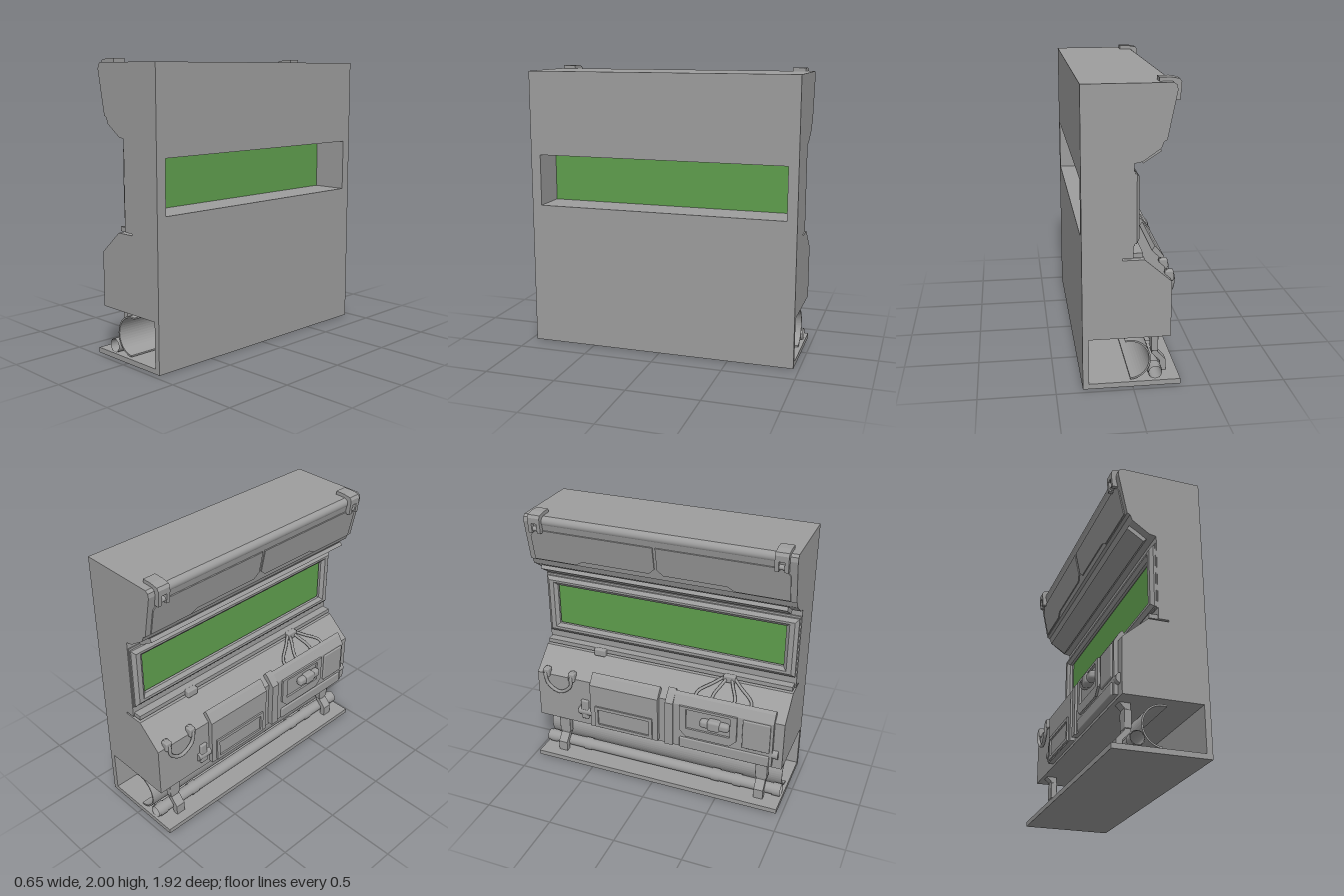
import * as THREE from 'three';
import { RoundedBoxGeometry } from 'three/addons/geometries/RoundedBoxGeometry.js';

export function createModel() {
  const model = new THREE.Group();
  model.name = 'wallPanel';
  const grey = new THREE.MeshStandardMaterial({ color: 0x9d9d9d });
  const greyOpen = new THREE.MeshStandardMaterial({ color: 0x9d9d9d, side: THREE.DoubleSide });
  const green = new THREE.MeshStandardMaterial({ color: 0x5f9e4d });

  const add = (name, geo, mat = grey) => {
    const m = new THREE.Mesh(geo, mat);
    m.name = name;
    model.add(m);
    return m;
  };
  const toShape = pts => new THREE.Shape(pts.map(p => new THREE.Vector2(...p)));
  const rect = (a, b, c, d) => [[a, c], [b, c], [b, d], [a, d]];

  // cross-section in x/y, swept from z0 to z1
  const prism = (name, pts, z0, z1) => {
    const g = new THREE.ExtrudeGeometry(toShape(pts), { depth: z1 - z0, bevelEnabled: false });
    return add(name, g.translate(0, 0, z0));
  };
  const box = (name, x0, x1, y0, y1, z0, z1, mat) =>
    add(name, new THREE.BoxGeometry(x1 - x0, y1 - y0, z1 - z0)
      .translate((x0 + x1) / 2, (y0 + y1) / 2, (z0 + z1) / 2), mat);
  const soft = (name, x0, x1, y0, y1, z0, z1, r) =>
    add(name, new RoundedBoxGeometry(x1 - x0, y1 - y0, z1 - z0, 2, r)
      .translate((x0 + x1) / 2, (y0 + y1) / 2, (z0 + z1) / 2));
  // outline in z/y, growing from x0 towards -x, with an optional hole and bevel
  const plate = (name, pts, x0, depth, hole, bevel = 0) => {
    const s = toShape(pts);
    if (hole) s.holes.push(new THREE.Path(hole.map(p => new THREE.Vector2(...p))));
    const g = new THREE.ExtrudeGeometry(s, { depth, bevelEnabled: bevel > 0,
      bevelThickness: bevel, bevelSize: bevel * 1.25, bevelSegments: 1 });
    return add(name, g.rotateY(-Math.PI / 2).translate(x0, 0, 0));
  };
  const rod = (name, x, y, z0, z1, r, open = false) =>
    add(name, new THREE.CylinderGeometry(r, r, z1 - z0, 24, 1, open)
      .rotateX(Math.PI / 2).translate(x, y, (z0 + z1) / 2), open ? greyOpen : grey);
  const cable = (name, pts, r = 0.011) =>
    add(name, new THREE.TubeGeometry(
      new THREE.CatmullRomCurve3(pts.map(p => new THREE.Vector3(...p))), 24, r, 8));

  const E = 0.96, B = 0.325;

  // wall: overhang above, console below with a slit under the ledge, jambs beside the window
  prism('upperWall', [[B, 1.385], [B, 1.975], [-0.235, 1.975], [-0.255, 1.96], [-0.26, 1.93],
    [-0.25, 1.88], [-0.2, 1.63], [-0.18, 1.62], [-0.165, 1.58], [-0.05, 1.5], [0, 1.49], [0, 1.385]], -E, E);
  prism('lowerWall', [[0.285, 0], [B, 0], [B, 1.02], [0, 1.02], [0, 0.884], [0.07, 0.884], [0.07, 0.872],
    [-0.07, 0.872], [-0.245, 0.72], [-0.245, 0.345], [0.285, 0.345]], -E, E);
  for (const s of [-1, 1]) {
    box('windowJamb', 0, B, 1.02, 1.385, Math.min(s * 0.89, s * E), Math.max(s * 0.89, s * E));
  }
  box('basePlate', -0.315, 0.285, 0, 0.035, -E, E);

  // window frame with slanted edges, and the glass behind it
  plate('windowSurround', rect(-0.955, 0.955, 0.965, 1.44), 0, 0.008, rect(-0.89, 0.89, 1.02, 1.385));
  plate('windowFrame', rect(-0.925, 0.925, 1.0, 1.4), 0, 0.02, rect(-0.89, 0.89, 1.02, 1.385), 0.02);
  box('windowGlass', 0.015, 0.07, 1.02, 1.385, -0.89, 0.89, green);

  // light strip under the overhang
  prism('lightStrip', [[-0.18, 1.55], [-0.165, 1.575], [-0.04, 1.5], [-0.065, 1.475]], -0.9, 0.9);

  // overhang flaps and the rolled edge above them
  rod('rolledEdge', -0.23, 1.938, -0.82, 0.82, 0.034);
  const onOverhang = m => { // tilt the flat plate to the face of the overhang
    m.rotation.z = Math.atan2(0.05, 0.25);
    m.position.set(-0.2, 1.63, 0);
  };
  onOverhang(plate('leftFlap', [[-0.92, 0.01], [-0.6, 0.01], [-0.55, 0.04], [-0.05, 0.04],
    [-0.01, 0.08], [-0.01, 0.25], [-0.88, 0.25], [-0.92, 0.2]], 0, 0.008));
  onOverhang(plate('rightFlap', [[0.01, 0.08], [0.05, 0.04], [0.5, 0.04], [0.55, 0.01],
    [0.92, 0.01], [0.92, 0.2], [0.88, 0.25], [0.01, 0.25]], 0, 0.008));

  // clamps hooked over the top edge: a strap, two prongs and a pin between them
  for (const s of [-1, 1]) {
    const z = s * 0.865;
    prism('clampStrap', [[-0.155, 1.97], [-0.155, 2.0], [-0.225, 2.0], [-0.28, 1.99], [-0.292, 1.97],
      [-0.29, 1.93], [-0.255, 1.93], [-0.235, 1.97]], z - 0.045, z + 0.045);
    for (const d of [-0.032, 0.032]) {
      prism('clampProng', [[-0.29, 1.935], [-0.283, 1.86], [-0.245, 1.86], [-0.255, 1.935]],
        z + d - 0.013, z + d + 0.013);
    }
    rod('clampPin', -0.26, 1.885, z - 0.03, z + 0.03, 0.017);
  }

  // ledge between window and console
  box('ledgeRail', -0.06, 0, 0.884, 0.915, -0.95, 0.95);
  for (const z of [-0.51, 0.5]) {
    soft('ledgeBracket', -0.095, -0.05, 0.865, 0.922, z - 0.045, z + 0.045, 0.01);
  }

  // cover panels folded over the console edge
  const folded = (x, top) => [[x, 0.365], [x, 0.72], [-0.235, 0.78], [-0.235 + top, 0.78 + top * 0.9],
    [-0.215 + top, 0.75 + top * 0.9], [-0.24, 0.715], [-0.24, 0.365]];
  prism('leftCover', folded(-0.28, 0.02), -0.51, 0.03);
  plate('leftCoverFrame', rect(-0.47, -0.01, 0.375, 0.55), -0.28, 0.012, rect(-0.445, -0.035, 0.4, 0.525));
  prism('rightCover', folded(-0.272, 0.02), 0.14, 0.89);
  prism('rightCoverEdge', folded(-0.287, 0.03), 0.09, 0.15);
  plate('rightCoverFrame', [[0.2, 0.52], [0.25, 0.47], [0.58, 0.47], [0.63, 0.52], [0.63, 0.72], [0.2, 0.72]],
    -0.27, 0.017, rect(0.25, 0.58, 0.54, 0.7));
  soft('rightLowerPlate', -0.285, -0.25, 0.365, 0.45, 0.2, 0.87, 0.008);
  soft('rightSidePlate', -0.285, -0.25, 0.48, 0.71, 0.67, 0.87, 0.008);

  // capsule handle on the right cover
  soft('handleCore', -0.322, -0.265, 0.592, 0.658, 0.36, 0.58, 0.025);
  soft('handleGrip', -0.33, -0.265, 0.585, 0.668, 0.42, 0.515, 0.02);

  // cables running down the slope to the right cover
  for (const z of [0.3, 0.42, 0.58, 0.7]) {
    cable('slopeCable', [[-0.075, 0.9, 0.5 + (z - 0.5) * 0.2], [-0.12, 0.865, 0.5 + (z - 0.5) * 0.5],
      [-0.19, 0.805, z], [-0.24, 0.755, z]]);
  }

  // looped hose with clips at the left end
  cable('hoseLoop', [[-0.21, 0.765, -0.88], [-0.26, 0.74, -0.88], [-0.265, 0.66, -0.87], [-0.262, 0.6, -0.8],
    [-0.262, 0.6, -0.75], [-0.265, 0.66, -0.68], [-0.26, 0.74, -0.67], [-0.21, 0.765, -0.67]], 0.013);
  for (const z of [-0.88, -0.67]) {
    soft('hoseClip', -0.268, -0.21, 0.7, 0.77, z - 0.025, z + 0.025, 0.01);
  }

  // couplings beside the covers
  rod('leftCoupling', -0.24, 0.46, -0.62, -0.51, 0.032);
  soft('couplingBlock', -0.265, -0.235, 0.4, 0.56, -0.6, -0.54, 0.01);
  rod('rightCoupling', -0.24, 0.46, 0.88, 0.93, 0.034);

  // curved trough in the open channel below
  const arc = (r, flip) => Array.from({ length: 25 }, (_, i) => {
    const a = 1.36 + (flip ? 24 - i : i) / 24 * 3.3;
    return [0.02 + r * Math.cos(a), 0.18 + r * Math.sin(a)];
  });
  prism('trough', [...arc(0.14, false), ...arc(0.129, true)], -0.94, 0.94);

  // floor pipe with collars
  rod('floorPipe', -0.15, 0.085, -0.95, 0.95, 0.043, true);
  for (const z of [-0.9, -0.6, 0.45, 0.62, 0.92]) {
    rod('pipeCollar', -0.15, 0.085, z - 0.03, z + 0.03, 0.048, true);
  }

  // cranked legs between base plate and console
  for (const z of [-0.79, 0.8]) {
    prism('leg', [[-0.24, 0.035], [-0.2, 0.035], [-0.2, 0.105], [-0.145, 0.16], [-0.145, 0.35],
      [-0.225, 0.35], [-0.185, 0.31], [-0.185, 0.17], [-0.24, 0.11]], z - 0.035, z + 0.035);
    soft('legSleeve', -0.188, -0.142, 0.18, 0.3, z - 0.045, z + 0.045, 0.006);
  }
  return model;
}
